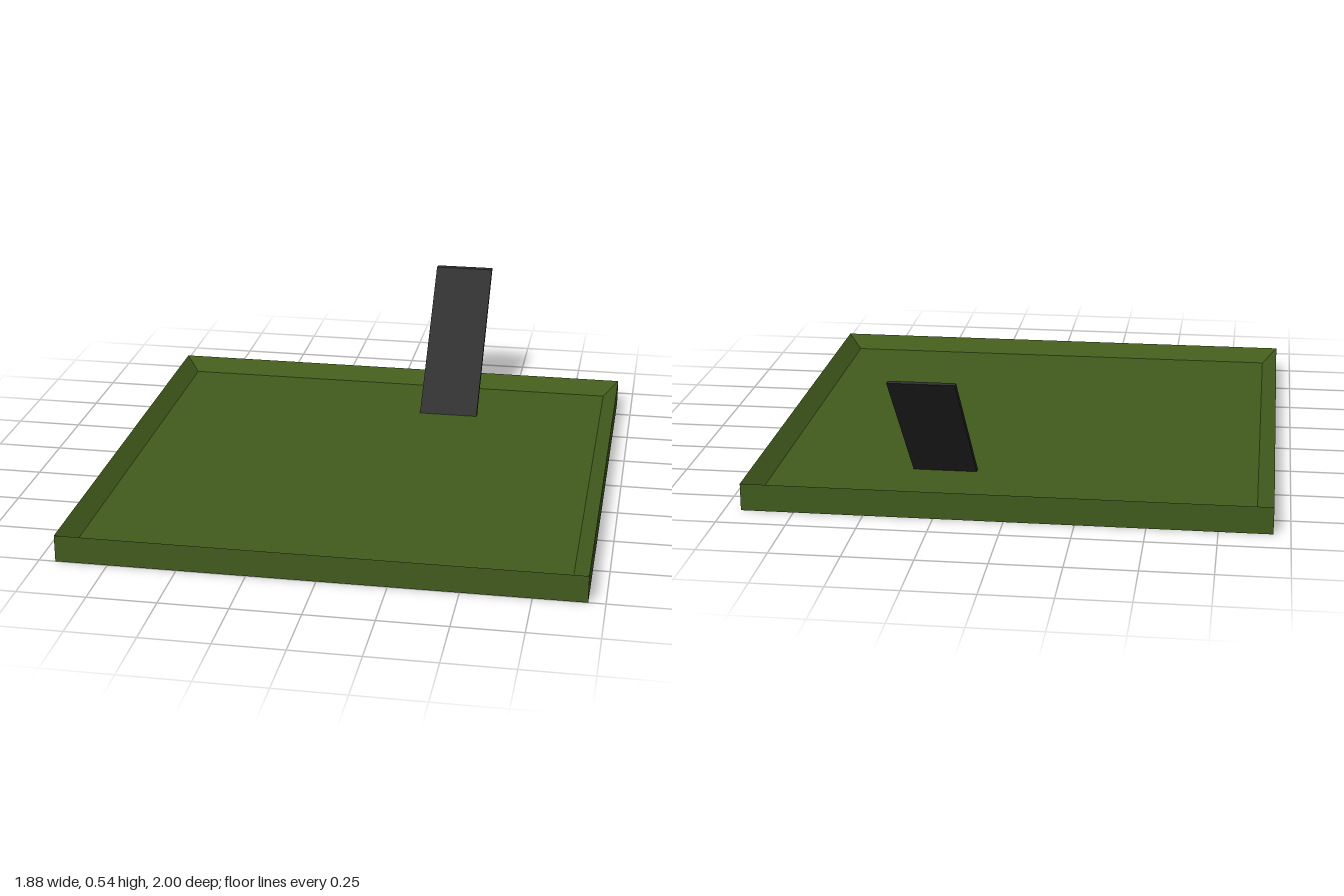
import * as THREE from 'three';

export function createModel() {
  const group = new THREE.Group();
  const green = new THREE.MeshStandardMaterial({ color: 0x425c1d, flatShading: true });
  const black = new THREE.MeshStandardMaterial({ color: 0x303030, flatShading: true });

  // Square tray: a four-sided lathe with a sloped rim around a sunken floor
  const outer = 0.94 * Math.SQRT2;
  const inner = 0.882 * Math.SQRT2;
  const profile = [[0, 0], [outer, 0], [outer, 0.1], [inner, 0.05], [0, 0.05]]
    .map(([r, y]) => new THREE.Vector2(r, y));
  const trayGeometry = new THREE.LatheGeometry(profile, 4, Math.PI / 4);
  const tray = new THREE.Mesh(trayGeometry, green);
  tray.name = 'tray';
  tray.position.z = 0.06;
  group.add(tray);

  // Slanted plate: parallelogram side outline (x runs backwards), extruded across the width
  const side = new THREE.Shape([[0.5, 0.05], [0.527, 0.05], [1, 0.535], [0.973, 0.535]]
    .map(([x, y]) => new THREE.Vector2(x, y)));
  const plateGeometry = new THREE.ExtrudeGeometry(side, { depth: 0.235, bevelEnabled: false });
  plateGeometry.rotateY(Math.PI / 2);
  const plate = new THREE.Mesh(plateGeometry, black);
  plate.name = 'slantedPlate';
  plate.position.x = 0.145;
  group.add(plate);

  return group;
}
